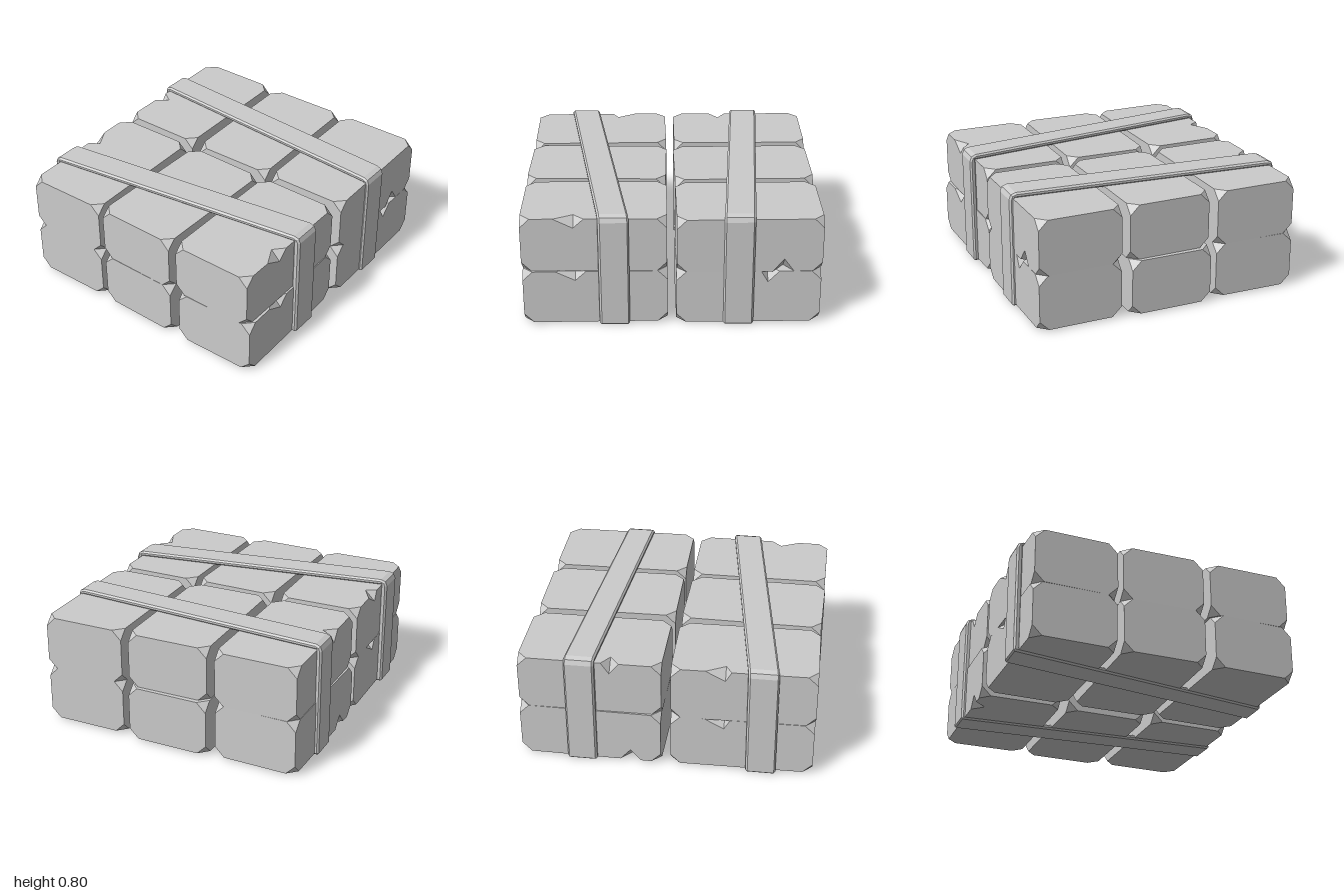
import * as THREE from 'three';

const material = new THREE.MeshStandardMaterial({ color: 0xcccccc, flatShading: true });
const HALF = [0.286, 0.189, 0.475];
const CUT = 0.065;

// Box with its eight corners cut off; a notch chips a long edge:
// { s, t } pick the side and top/bottom face, z0..z1 the span, za the deepest point, d the depth.
function blockGeometry(notches = []) {
  const out = [];
  const tri = (...pts) => pts.forEach((p) => out.push(...p));
  const cornerPoint = (signs, axis) =>
    signs.map((v, i) => v * (HALF[i] - (i === axis ? CUT : 0)));

  for (let a = 0; a < 3; a++) {
    const b = (a + 1) % 3, c = (a + 2) % 3;
    for (const s of [1, -1]) {
      const loop = [];
      const corners = [[1, 1], [-1, 1], [-1, -1], [1, -1]].map(([u, v]) => {
        const k = [0, 0, 0];
        k[a] = s; k[b] = u * s; k[c] = v;
        return k;
      });
      corners.forEach((k, i) => {
        const next = corners[(i + 1) % 4];
        const axis = i % 2 === 0 ? b : c;
        loop.push(cornerPoint(k, i % 2 === 0 ? c : b), cornerPoint(k, axis));
        if (axis !== 2) return;
        for (const n of notches) {
          if (k[0] !== n.s || k[1] !== n.t) continue;
          const { start, end, side, cap } = notchPoints(n);
          const apex = a === 0 ? side : cap;
          loop.push(...(next[2] > 0 ? [start, apex, end] : [end, apex, start]));
        }
      });
      const flat = loop.map((p) => new THREE.Vector2(p[b] * s, p[c]));
      for (const f of THREE.ShapeUtils.triangulateShape(flat, [])) tri(...f.map((i) => loop[i]));
    }
  }
  // Corner facets
  for (const x of [1, -1]) for (const y of [1, -1]) for (const z of [1, -1]) {
    const p = [0, 1, 2].map((axis) => cornerPoint([x, y, z], axis));
    tri(...(x * y * z > 0 ? p : p.reverse()));
  }
  // Inner walls of the chips
  for (const n of notches) {
    const { start, end, side, cap } = notchPoints(n);
    const [p, q] = n.s * n.t > 0 ? [cap, side] : [side, cap];
    tri(start, p, q);
    tri(end, q, p);
  }
  const geometry = new THREE.BufferGeometry();
  geometry.setAttribute('position', new THREE.Float32BufferAttribute(out, 3));
  geometry.computeVertexNormals();
  return geometry;
}

function notchPoints({ s, t, z0, z1, za, d }) {
  const x = s * HALF[0], y = t * HALF[1];
  return {
    start: [x, y, z0], end: [x, y, z1],
    side: [x, y - t * d, za], cap: [x - s * d, y, za],
  };
}

// Closed band around the stack, slanted across it
function strapGeometry(zMid, slope) {
  const X = 0.945, Y = 0.8, r = 0.045, bevel = 0.012, width = 0.2;
  const outer = new THREE.Shape([
    [-X, 0.01], [-X + 0.01, 0], [X - 0.01, 0], [X, 0.01],
    [X, Y - r], [X - 0.013, Y - 0.013], [X - r, Y],
    [-X + r, Y], [-X + 0.013, Y - 0.013], [-X, Y - r],
  ].map(([x, y]) => new THREE.Vector2(x, y)));
  outer.holes.push(new THREE.Path([
    [-0.9, 0.035], [-0.9, 0.762], [0.9, 0.762], [0.9, 0.035],
  ].map(([x, y]) => new THREE.Vector2(x, y))));
  const geometry = new THREE.ExtrudeGeometry(outer, {
    depth: width - 2 * bevel, bevelEnabled: true, bevelSegments: 1,
    bevelThickness: bevel, bevelSize: bevel, bevelOffset: -bevel,
  });
  const p = geometry.attributes.position;
  for (let i = 0; i < p.count; i++) {
    p.setZ(i, p.getZ(i) - width / 2 + bevel + zMid + slope * p.getX(i));
  }
  geometry.computeVertexNormals();
  return geometry;
}

export function createModel() {
  const model = new THREE.Group();
  const add = (name, geometry) => {
    const mesh = new THREE.Mesh(geometry, material);
    mesh.name = name;
    model.add(mesh);
    return mesh;
  };

  // Blocks: name, x, layer, z, turn, chips (z relative to the block centre)
  const blocks = [
    ['lowerBackRightBlock', -0.635, 0, -0.495, -0.01, [{ s: -1, t: -1, z0: 0.2, z1: 0.34, za: 0.27, d: 0.08 }]],
    ['lowerBackMiddleBlock', 0.0, 0, -0.522, 0.005],
    ['lowerBackLeftBlock', 0.638, 0, -0.497, 0.01, [{ s: 1, t: 1, z0: -0.2, z1: -0.08, za: -0.125, d: 0.08 }]],
    ['lowerFrontRightBlock', -0.627, 0, 0.513, 0.012, [{ s: -1, t: 1, z0: -0.25, z1: -0.08, za: -0.12, d: 0.07 }]],
    ['lowerFrontMiddleBlock', 0.0, 0, 0.515, -0.01],
    ['lowerFrontLeftBlock', 0.632, 0, 0.511, 0.018, [{ s: 1, t: 1, z0: 0.06, z1: 0.26, za: 0.13, d: 0.065 }]],
    ['upperBackRightBlock', -0.627, 1, -0.495, 0.006, [{ s: -1, t: 1, z0: 0.08, z1: 0.2, za: 0.135, d: 0.08 }]],
    ['upperBackMiddleBlock', 0.012, 1, -0.492, 0.018],
    ['upperBackLeftBlock', 0.638, 1, -0.5, 0.014, [{ s: 1, t: -1, z0: -0.29, z1: -0.15, za: -0.225, d: 0.09 }]],
    ['upperFrontRightBlock', -0.625, 1, 0.515, 0.018, [{ s: -1, t: 1, z0: -0.25, z1: -0.08, za: -0.12, d: 0.07 }]],
    ['upperFrontMiddleBlock', 0.0, 1, 0.513, -0.014],
    ['upperFrontLeftBlock', 0.62, 1, 0.511, 0, [{ s: 1, t: 1, z0: 0.06, z1: 0.26, za: 0.13, d: 0.065 }]],
  ];
  for (const [name, x, layer, z, turn, chips] of blocks) {
    const block = add(name, blockGeometry(chips));
    block.position.set(x, 0.201 + layer * 0.376, z);
    block.rotation.y = turn;
  }

  // Straps
  add('backStrap', strapGeometry(-0.495, 0.064));
  add('frontStrap', strapGeometry(0.515, -0.143));
  return model;
}
